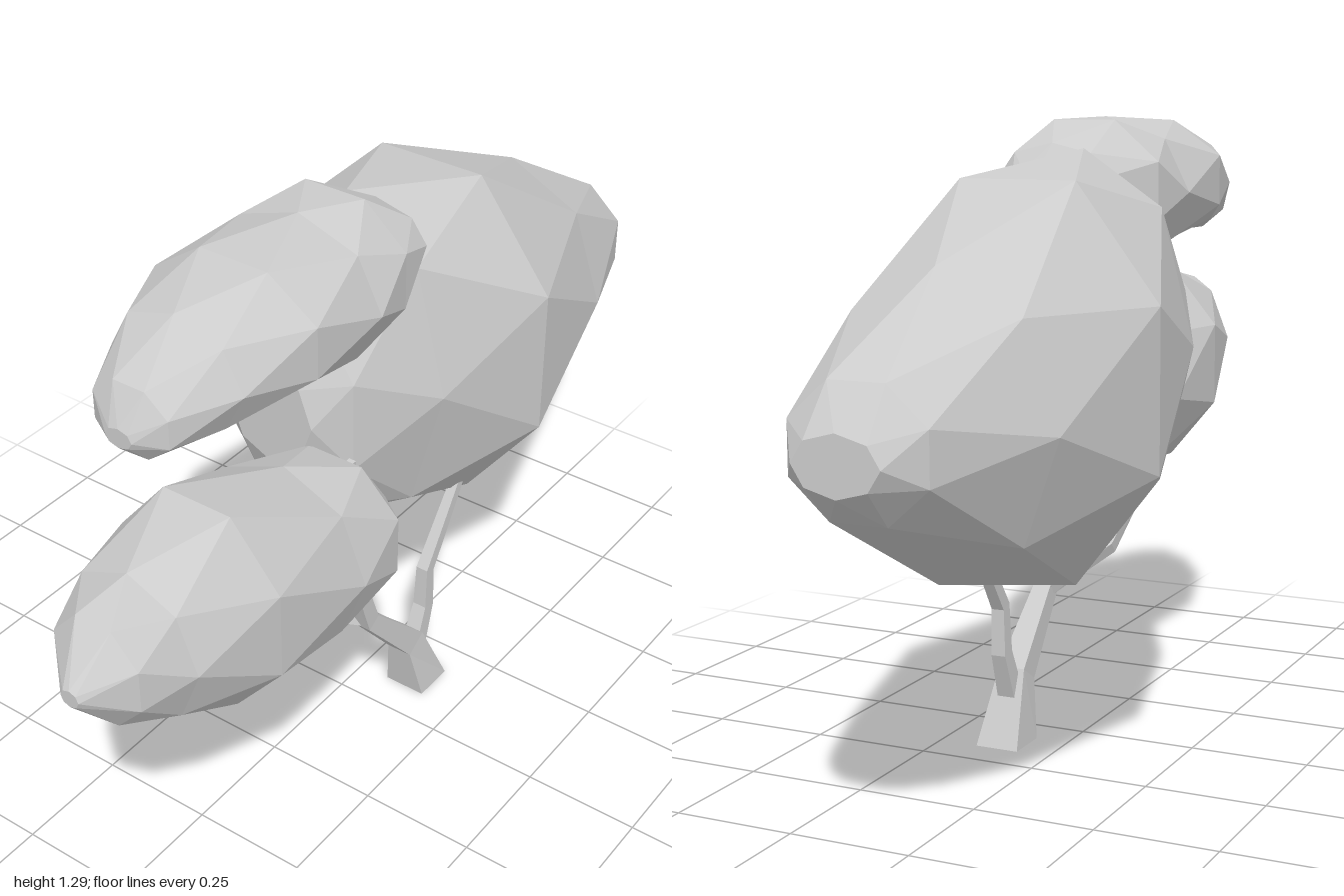
import * as THREE from 'three';

const material = new THREE.MeshStandardMaterial({ color: 0xcccccc, flatShading: true });

// Skin a row of closed rings with triangles and cap both ends.
function loft(rings, staggered) {
  const n = rings[0].length;
  const pos = [];
  const tri = (a, b, c) => pos.push(...a.toArray(), ...b.toArray(), ...c.toArray());
  for (let k = 0; k < rings.length - 1; k++) {
    const r = rings[k], s = rings[k + 1];
    for (let j = 0; j < n; j++) {
      const i = (j + 1) % n;
      if (staggered && k % 2) {
        tri(r[j], r[i], s[i]);
        tri(r[j], s[i], s[j]);
      } else {
        tri(r[j], r[i], s[j]);
        tri(r[i], s[i], s[j]);
      }
    }
  }
  const first = rings[0], last = rings[rings.length - 1];
  for (let j = 1; j < n - 1; j++) {
    tri(first[0], first[j + 1], first[j]);
    tri(last[0], last[j], last[j + 1]);
  }
  const g = new THREE.BufferGeometry();
  g.setAttribute('position', new THREE.Float32BufferAttribute(pos, 3));
  g.computeVertexNormals();
  return g;
}

// Faceted leaf mass from sections along x: [x, bottom, top, z centre, z radius].
function foliage(name, sections) {
  const n = 8;
  const rings = sections.map(([x, lo, hi, zc, zr], k) => {
    const half = (k % 2) / 2;
    const grow = half ? 1 / Math.cos(Math.PI / n) : 1;
    return Array.from({ length: n }, (_, j) => {
      const a = ((j + half) * 2 * Math.PI) / n;
      return new THREE.Vector3(x,
        (lo + hi) / 2 + ((hi - lo) / 2) * grow * Math.cos(a),
        zc + zr * grow * Math.sin(a));
    });
  });
  const mesh = new THREE.Mesh(loft(rings, true), material);
  mesh.name = name;
  return mesh;
}

// Four-sided tapering limb through points [x, y, z, half width].
function limb(name, points, levelBase) {
  const p = points.map(([x, y, z]) => new THREE.Vector3(x, y, z));
  const rings = p.map((c, k) => {
    const t = p[Math.min(k + 1, p.length - 1)].clone().sub(p[Math.max(k - 1, 0)]).normalize();
    if (levelBase && k === 0) t.set(0, 1, 0);
    const u = t.clone().cross(new THREE.Vector3(0, 0, 1)).normalize();
    const v = t.clone().cross(u);
    return [1, 3, 5, 7].map((e) => {
      const a = (e * Math.PI) / 4, r = points[k][3] * Math.SQRT2;
      return c.clone().addScaledVector(u, r * Math.cos(a)).addScaledVector(v, r * Math.sin(a));
    });
  });
  const mesh = new THREE.Mesh(loft(rings, false), material);
  mesh.name = name;
  return mesh;
}

export function createModel() {
  const tree = new THREE.Group();
  tree.name = 'tree';

  // Leaning trunk and its two side branches
  tree.add(limb('trunk', [
    [0.127, 0, 0.118, 0.047], [0.08, 0.14, 0.117, 0.029], [-0.07, 0.3, 0.117, 0.019],
    [-0.125, 0.45, 0.122, 0.016], [-0.148, 0.6, 0.13, 0.014], [-0.165, 0.78, 0.14, 0.008],
  ], true));
  tree.add(limb('rightBranch', [
    [0.105, 0.09, 0.118, 0.02], [0.147, 0.2, 0.118, 0.016], [0.147, 0.3, 0.12, 0.014],
    [0.25, 0.46, 0.122, 0.011], [0.29, 0.53, 0.122, 0.009],
  ]));
  tree.add(limb('leftBranch', [
    [-0.06, 0.295, 0.11, 0.015], [-0.19, 0.365, 0.025, 0.014],
    [-0.285, 0.48, -0.005, 0.011], [-0.33, 0.57, -0.01, 0.008],
  ]));

  // Three leaf masses
  tree.add(foliage('mainFoliage', [
    [-0.21, 0.74, 0.97, -0.02, 0.1], [-0.14, 0.6, 1.08, -0.02, 0.15],
    [0.04, 0.46, 1.235, -0.02, 0.24], [0.33, 0.415, 1.185, -0.015, 0.293],
    [0.66, 0.48, 1.05, -0.02, 0.24], [0.93, 0.645, 0.885, -0.02, 0.135],
    [1.0, 0.7, 0.81, -0.02, 0.085],
  ]));
  tree.add(foliage('lowerFoliage', [
    [-1.0, 0.78, 0.815, 0.17, 0.02], [-0.91, 0.68, 0.89, 0.15, 0.095],
    [-0.8, 0.6, 0.915, 0.13, 0.15], [-0.6, 0.5, 0.94, 0.12, 0.183],
    [-0.35, 0.475, 0.87, 0.12, 0.19], [-0.2, 0.51, 0.81, 0.13, 0.15],
    [-0.15, 0.6, 0.74, 0.15, 0.09],
  ]));
  tree.add(foliage('upperFoliage', [
    [-0.69, 1.07, 1.11, 0.03, 0.03], [-0.65, 1.035, 1.175, 0.025, 0.085],
    [-0.53, 1.03, 1.26, 0.03, 0.15], [-0.36, 1.03, 1.285, 0.025, 0.185],
    [-0.17, 0.985, 1.295, 0.025, 0.19], [-0.05, 1.005, 1.29, 0.02, 0.165],
    [0.04, 1.11, 1.245, 0.05, 0.12], [0.08, 1.15, 1.19, 0.08, 0.04],
  ]));
  return tree;
}
